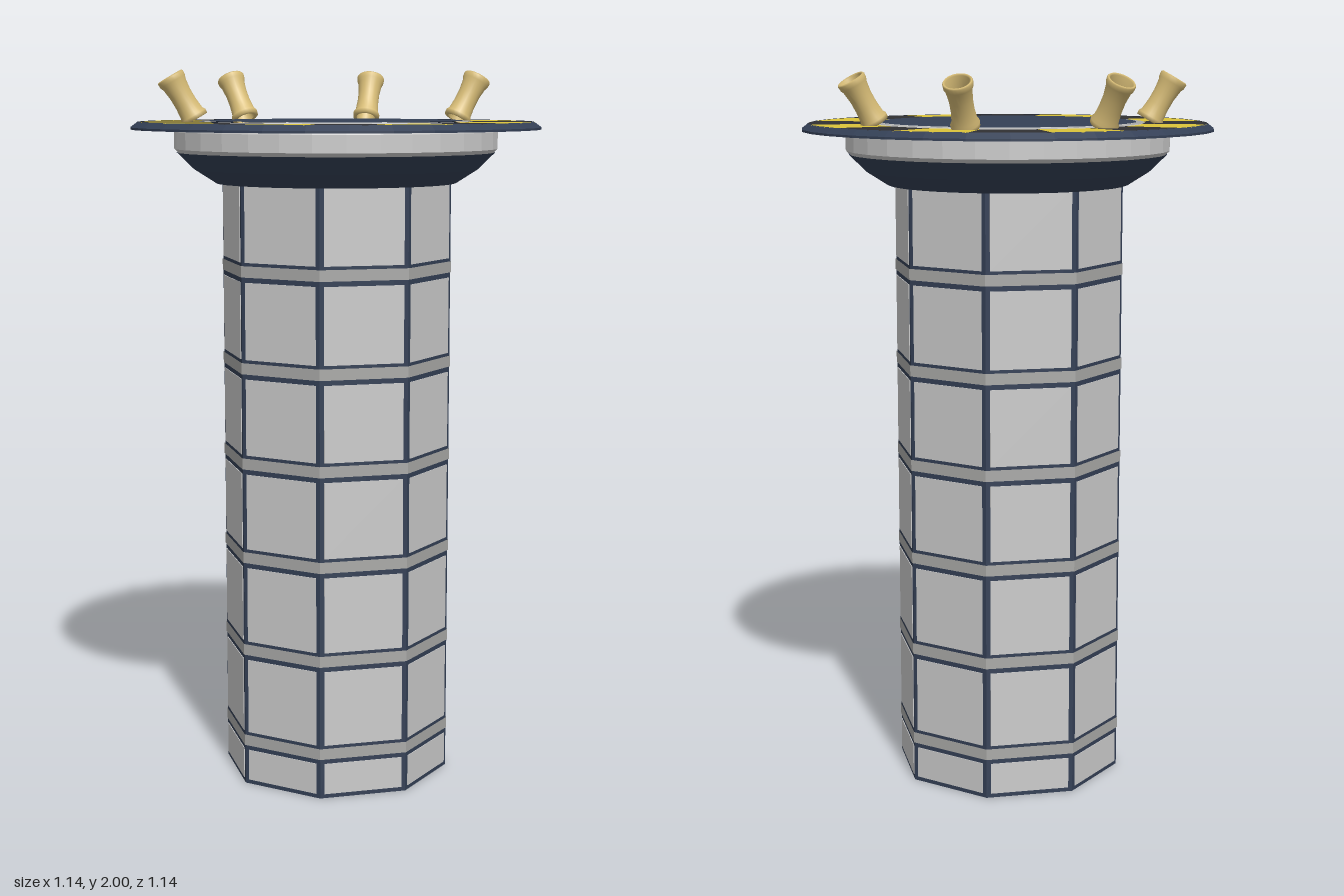
import * as THREE from 'three';

const SIDES = 8, SEG = 32;
const APOTHEM = 0.298;                          // centre to a flat of the column
const EDGE = 2 * APOTHEM * Math.tan(Math.PI / SIDES);

const mat = (color, opts = {}) => new THREE.MeshStandardMaterial({ color, ...opts });
const grey = mat(0xcccccc, { flatShading: true });
const trim = mat(0xaaaaa8, { flatShading: true, side: THREE.DoubleSide });
const navy = mat(0x344056, { flatShading: true, side: THREE.DoubleSide });
const yellow = mat(0xdbc33a, { side: THREE.DoubleSide });
const black = mat(0x303032, { side: THREE.DoubleSide });
const gold = mat(0xd8bd77, { side: THREE.DoubleSide });

function add(parent, name, geometry, material) {
  const mesh = new THREE.Mesh(geometry, material);
  mesh.name = name;
  parent.add(mesh);
  return mesh;
}

const lathe = (points, segments = SEG) =>
  new THREE.LatheGeometry(points.map(([r, y]) => new THREE.Vector2(r, y)), segments);

// Octagonal prism with a flat side facing the front
function octagon(apothem, y0, y1, open = false) {
  const r = apothem / Math.cos(Math.PI / SIDES);
  return new THREE.CylinderGeometry(r, r, y1 - y0, SIDES, 1, open)
    .rotateY(Math.PI / SIDES).translate(0, (y0 + y1) / 2, 0);
}

function createColumn() {
  const column = new THREE.Group();
  column.name = 'column';
  add(column, 'columnCore', octagon(APOTHEM, 0, 1.72), navy);

  // Rows of wall panels, one per flat, parted by plain bands
  const pitch = 0.266;
  for (let row = 0; row < 7; row++) {
    const y0 = row ? 0.153 + (row - 1) * pitch : 0.012;
    const y1 = row ? y0 + 0.212 : 0.1;
    for (let i = 0; i < SIDES; i++) {
      const panel = new THREE.BoxGeometry(EDGE - 0.024, y1 - y0, 0.012)
        .translate(0, (y0 + y1) / 2, APOTHEM - 0.004)
        .rotateY(i * Math.PI * 2 / SIDES);
      add(column, 'wallPanel', panel, grey);
    }
    if (row < 6) {
      const b = 0.113 + row * pitch;
      add(column, 'columnBand', octagon(APOTHEM + 0.002, b, b + 0.031, true), trim);
    }
  }
  return column;
}

function createHead() {
  const head = new THREE.Group();
  head.name = 'head';
  // Bowl flaring out from the column, with a drum above it
  add(head, 'bowl', lathe([[0.29, 1.69], [0.335, 1.69], [0.395, 1.728], [0.443, 1.775]]), navy);
  add(head, 'drum', lathe([[0.437, 1.773], [0.45, 1.785], [0.45, 1.832], [0.444, 1.85], [0, 1.85]]), grey);

  // Thin platform: sloped rim, sixteen striped sectors, inner ring and floor
  add(head, 'platformRim', lathe([[0.57, 1.838], [0.57, 1.844], [0.55, 1.859]]), navy);
  const flat = (geometry, y) => geometry.rotateX(-Math.PI / 2).translate(0, y, 0);
  const step = Math.PI / 8;
  for (let i = 0; i < 16; i++) {
    add(head, 'stripeSector',
      flat(new THREE.RingGeometry(0.375, 0.552, 2, 1, i * step, step), 1.858),
      i % 2 ? black : yellow);
  }
  add(head, 'innerRing', flat(new THREE.RingGeometry(0.35, 0.38, SEG), 1.86), trim);
  add(head, 'platformFloor', flat(new THREE.CircleGeometry(0.356, SEG), 1.862), navy);
  return head;
}

// Hollow flared post, leaning outwards
function createPost(angle) {
  const pivot = new THREE.Group();
  pivot.name = 'post';
  pivot.rotation.y = angle;
  const tube = add(pivot, 'postTube', lathe([
    [0.028, 0], [0.038, 0], [0.039, 0.012], [0.034, 0.02], [0.031, 0.05], [0.031, 0.08],
    [0.035, 0.112], [0.039, 0.12], [0.04, 0.133], [0.037, 0.137], [0.031, 0.134],
    [0.025, 0.09], [0.025, 0.04], [0.028, 0],
  ], 24), gold);
  tube.position.set(0, 1.864, -0.39);
  tube.rotation.x = -0.53;
  return pivot;
}

export function createModel() {
  const model = new THREE.Group();
  model.name = 'watchTower';
  model.add(createColumn(), createHead());
  // Four posts mirrored around the back half
  for (const side of [-1, 1]) {
    for (const degrees of [28, 77.6]) {
      model.add(createPost(side * THREE.MathUtils.degToRad(degrees)));
    }
  }
  return model;
}
